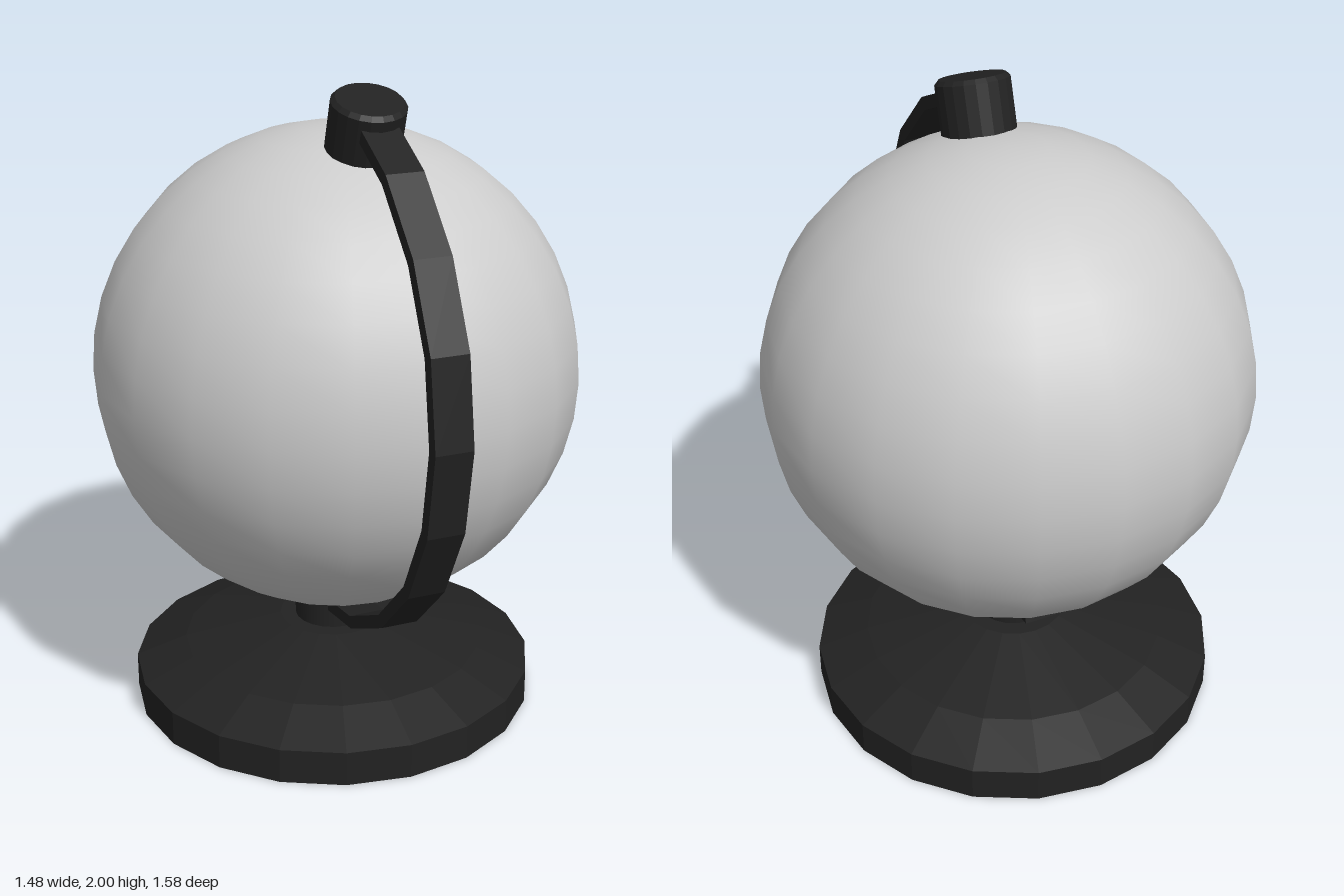
import * as THREE from 'three';

export function createModel() {
  const model = new THREE.Group();
  const grey = new THREE.MeshStandardMaterial({ color: 0xcccccc });
  grey.name = 'light grey';
  const black = new THREE.MeshStandardMaterial({ color: 0x222222 });
  black.name = 'soft black';

  const add = (name, geometry, material, x, y, z) => {
    const mesh = new THREE.Mesh(geometry, material);
    mesh.name = name;
    mesh.position.set(x, y, z);
    model.add(mesh);
    return mesh;
  };

  // Turned part with hard edges between its profile rings
  const turned = (points, sides) => {
    const profile = points.map(([r, y]) => new THREE.Vector2(r, y));
    const geometry = new THREE.LatheGeometry(profile, sides).toNonIndexed();
    geometry.deleteAttribute('normal');
    geometry.computeVertexNormals();
    return geometry;
  };

  const step = Math.PI / 10; // 18 degrees: arm segment and axis tilt
  const centreZ = -0.05;

  // Ball
  add('globe', new THREE.SphereGeometry(0.742, 20, 20), grey, 0, 1.12, centreZ);

  // Foot with a shallow domed top, and the neck on it
  add('base', turned([[0, 0], [0.64, 0], [0.64, 0.11], [0.48, 0.175], [0.17, 0.25], [0, 0.25]], 20),
    black, 0, 0, -0.09);
  add('neck', new THREE.CylinderGeometry(0.12, 0.12, 0.17, 20), black, 0, 0.315, -0.09);

  // Flat arm: a faceted arc from the cap, round the front, to behind the neck
  const outline = [];
  for (let i = -6; i <= 4; i++) outline.push([0.84, i * step]);
  for (let i = 4; i >= -6; i--) outline.push([0.8, i * step]);
  const shape = new THREE.Shape(outline.map(([r, a]) =>
    new THREE.Vector2(r * Math.cos(a), r * Math.sin(a))));
  const armGeometry = new THREE.ExtrudeGeometry(shape, { depth: 0.114, bevelEnabled: false });
  armGeometry.translate(0, 0, -0.057);
  armGeometry.rotateY(-Math.PI / 2);
  add('arm', armGeometry, black, 0, 1.14, centreZ);

  // Tilted pivot cap on the ball
  const cap = add('pivotCap',
    turned([[0, -0.02], [0.11, -0.02], [0.11, 0.138], [0.098, 0.151], [0, 0.151]], 20),
    black, 0, 1.83, 0.152);
  cap.rotation.x = step;

  return model;
}
